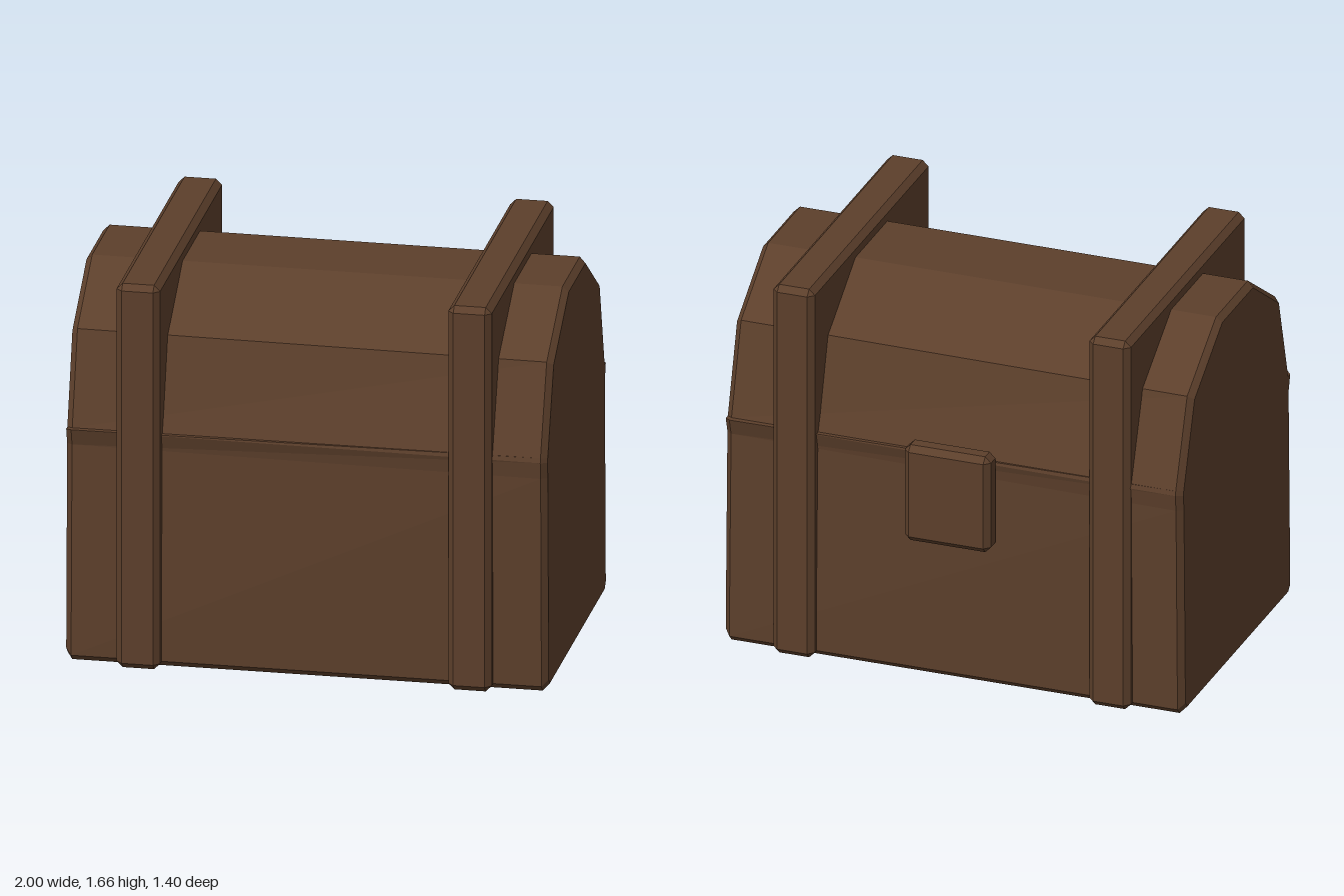
import * as THREE from 'three';
import { ConvexGeometry } from 'three/addons/geometries/ConvexGeometry.js';

const wood = new THREE.MeshStandardMaterial({ color: 0x5c3f2b, flatShading: true });
const CENTRE_Z = 0.02;

// Box between two corners with every edge chamfered
function chamferBox(name, min, max, c) {
  const pts = [];
  for (const sx of [0, 1]) for (const sy of [0, 1]) for (const sz of [0, 1]) {
    const s = [sx, sy, sz];
    const corner = s.map((k, i) => (k ? max[i] : min[i]));
    for (let flush = 0; flush < 3; flush++) {
      pts.push(new THREE.Vector3(...corner.map((v, i) => (i === flush ? v : v + (s[i] ? -c : c)))));
    }
  }
  const mesh = new THREE.Mesh(new ConvexGeometry(pts), wood);
  mesh.name = name;
  return mesh;
}

// Half outlines [distance from the centre plane, height], bottom to top
const lippedSide = [[0.6, 0], [0.625, 0.025], [0.605, 0.93], [0.625, 1], [0.6, 1], [0.49, 1.39], [0.18, 1.6]];
const flushSide = [[0.6, 0], [0.625, 0.025], [0.642, 0.93], [0.65, 1], [0.645, 1.02], [0.515, 1.39], [0.185, 1.6]];

// Closed outline at one x, running up the front and down the back
function section(x, front, back, inset) {
  const loop = [...front, ...back.map(([u, y]) => [-u, y]).reverse()];
  return loop.map(([z, y]) => inset
    ? [x, 0.8 + (y - 0.8) * 0.97, z * 0.96 + CENTRE_Z]
    : [x, y, z + CENTRE_Z]);
}

// Chest body and faceted lid, lofted along x with chamfered ends
function chestShell() {
  const rings = [
    section(-1, lippedSide, flushSide, true),
    section(-0.975, lippedSide, flushSide, false),
    section(0.975, flushSide, lippedSide, false),
    section(1, flushSide, lippedSide, true),
  ];
  const n = rings[0].length;
  const pos = [];
  const tri = (a, b, c) => pos.push(...a, ...b, ...c);
  for (let r = 0; r < rings.length - 1; r++) {
    for (let i = 0; i < n; i++) {
      const j = (i + 1) % n;
      const [a, b, c, d] = [rings[r][i], rings[r + 1][i], rings[r + 1][j], rings[r][j]];
      tri(a, b, c);
      tri(a, c, d);
    }
  }
  // End walls as fans around their middle
  for (let i = 0; i < n; i++) {
    const j = (i + 1) % n;
    tri([-1, 0.8, CENTRE_Z], rings[0][i], rings[0][j]);
    tri([1, 0.8, CENTRE_Z], rings[3][j], rings[3][i]);
  }
  const geo = new THREE.BufferGeometry();
  geo.setAttribute('position', new THREE.Float32BufferAttribute(pos, 3));
  geo.computeVertexNormals();
  const mesh = new THREE.Mesh(geo, wood);
  mesh.name = 'chestBodyAndLid';
  return mesh;
}

export function createModel() {
  const chest = new THREE.Group();
  chest.name = 'chest';
  chest.add(chestShell());

  // Two square bands around the chest
  chest.add(chamferBox('rightBand', [-0.78, 0, -0.65], [-0.6, 1.66, 0.7], 0.025));
  chest.add(chamferBox('leftBand', [0.595, 0, -0.65], [0.775, 1.66, 0.7], 0.025));

  // Lock plate on the back
  chest.add(chamferBox('lockPlate', [-0.19, 0.63, -0.7], [0.185, 1.06, -0.6], 0.025));
  return chest;
}
